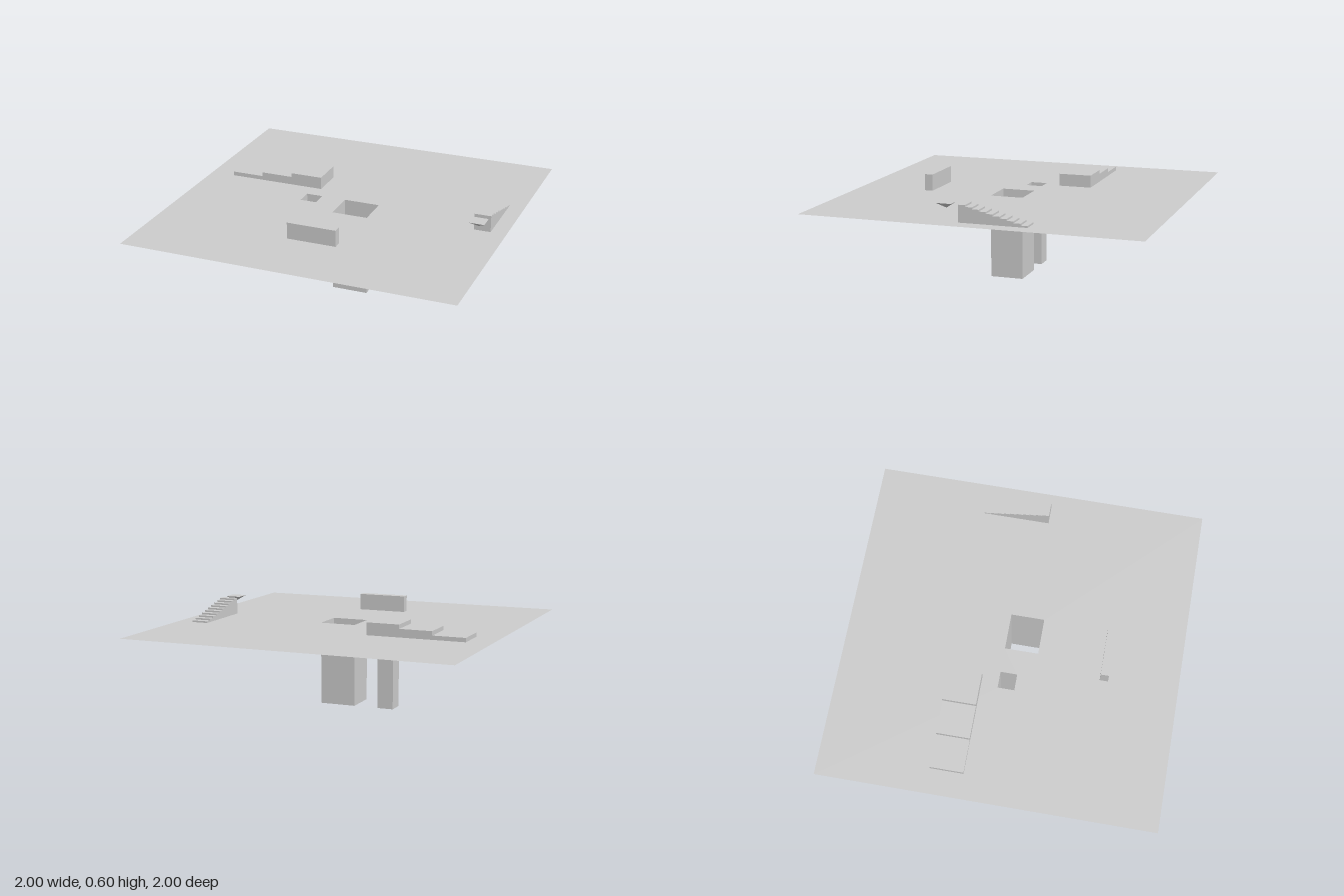
import * as THREE from 'three';

const GROUND = 0.5;

export function createModel() {
  const model = new THREE.Group();
  const grey = new THREE.MeshStandardMaterial({ color: 0xcccccc, side: THREE.DoubleSide });
  grey.name = 'plain grey';

  const add = (name, geometry, parent = model) => {
    const mesh = new THREE.Mesh(geometry, grey);
    mesh.name = name;
    parent.add(mesh);
    return mesh;
  };
  const group = (name) => {
    const g = new THREE.Group();
    g.name = name;
    model.add(g);
    return g;
  };
  const rectangle = (Target, x0, x1, z0, z1) => new Target([
    new THREE.Vector2(x0, -z0), new THREE.Vector2(x0, -z1),
    new THREE.Vector2(x1, -z1), new THREE.Vector2(x1, -z0),
  ]);
  // Side profile pushed out to a given width
  const extrude = (points, depth) => new THREE.ExtrudeGeometry(
    new THREE.Shape(points.map(([x, y]) => new THREE.Vector2(x, y))),
    { depth, bevelEnabled: false });

  // Thin ground sheet with two rectangular openings: x0, x1, z0, z1
  const shafts = [
    ['largeShaft', -0.05, 0.17, -0.05, 0.15],
    ['smallShaft', -0.3, -0.2, -0.05, 0.05],
  ];
  const sheet = rectangle(THREE.Shape, -1, 1, -1, 1);
  for (const [, ...r] of shafts) sheet.holes.push(rectangle(THREE.Path, ...r));
  add('ground', new THREE.ShapeGeometry(sheet).rotateX(-Math.PI / 2).translate(0, GROUND, 0));

  // Open shafts hanging below the openings
  for (const [name, x0, x1, z0, z1] of shafts) {
    const shaft = group(name);
    const w = x1 - x0, d = z1 - z0;
    shaft.position.set((x0 + x1) / 2, GROUND / 2, (z0 + z1) / 2);
    for (let i = 0; i < 4; i++) {
      const [width, out] = i % 2 ? [d, w / 2] : [w, d / 2];
      add('shaftWall', new THREE.PlaneGeometry(width, GROUND)
        .translate(0, 0, out).rotateY(i * Math.PI / 2), shaft);
    }
  }

  // Low wall
  add('lowWall', new THREE.BoxGeometry(0.3, 0.1, 0.05)).position.set(0, GROUND + 0.05, 0.56);

  // Three broad terraces rising toward +x
  const terrace = [[-0.25, 0], [-0.85, 0]];
  for (let i = 0; i < 3; i++) {
    const x = -0.85 + i * 0.2, y = 0.025 * (i + 1);
    terrace.push([x, y], [x + 0.2, y]);
  }
  add('terraces', extrude(terrace, 0.2)).position.set(0, GROUND, -0.35);

  // Ten-step staircase rising toward the front
  const stair = [[0.4, 0], [0, 0]];
  for (let i = 0; i < 10; i++) {
    const y = 0.01 * (i + 1);
    stair.push([i * 0.04, y], [(i + 1) * 0.04, y]);
  }
  add('staircase', extrude(stair, 0.1).rotateY(-Math.PI / 2))
    .position.set(0.905, GROUND, -0.33);

  // Floating inverted pyramid beyond the top step
  const pyramid = new THREE.ConeGeometry(0.09 / Math.SQRT2, 0.032, 4)
    .rotateY(Math.PI / 4).rotateX(Math.PI).toNonIndexed();
  pyramid.computeVertexNormals();
  add('floatingPyramid', pyramid).position.set(0.857, 0.584, 0.157);

  return model;
}
